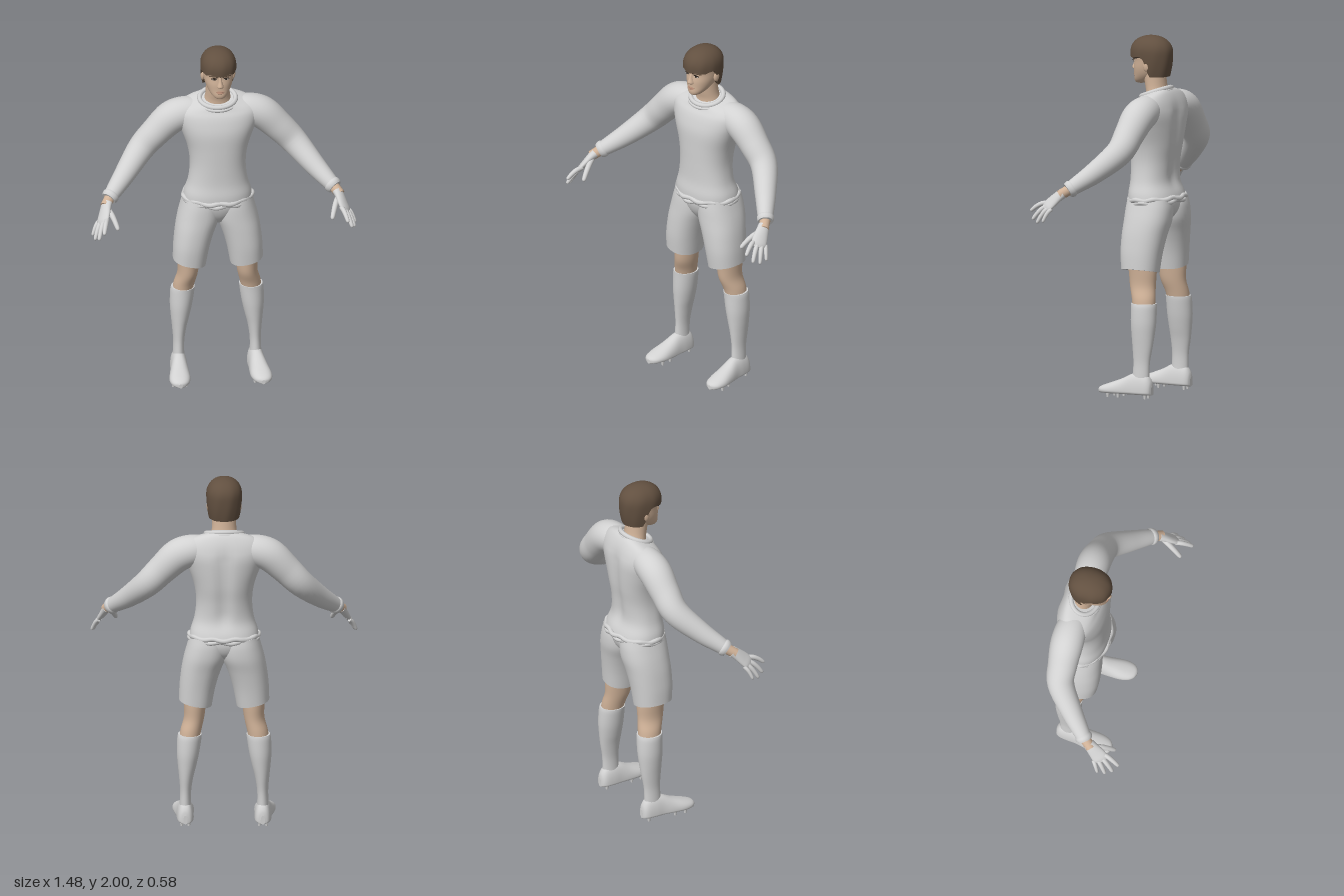
import * as THREE from 'three';

const mat = (name, color, side = THREE.FrontSide) => {
  const m = new THREE.MeshStandardMaterial({ color, side });
  m.name = name;
  return m;
};
const { smoothstep, lerp } = THREE.MathUtils;
const V = (x, y, z) => new THREE.Vector3(x, y, z);

// Skin a list of equal rings, capped at both ends; s = -1 mirrors in x
function loft(rings, s = 1) {
  const n = rings[0].length, pos = [], idx = [];
  const add = (p) => pos.push(p.x * s, p.y, p.z) / 3 - 1;
  rings.forEach((r) => r.forEach(add));
  for (let i = 0; i < rings.length - 1; i++) for (let j = 0; j < n; j++) {
    const a = i * n + j, b = i * n + (j + 1) % n;
    idx.push(a, a + n, b, b, a + n, b + n);
  }
  [rings[0], rings[rings.length - 1]].forEach((ring, end) => {
    const mid = ring.reduce((m, p) => m.add(p), V(0, 0, 0)).divideScalar(n);
    const c = add(mid), rim = ring.map(add);
    for (let j = 0; j < n; j++) {
      const a = rim[j], b = rim[(j + 1) % n];
      idx.push(c, end ? b : a, end ? a : b);
    }
  });
  // Turn the faces outward if the enclosed volume is negative
  const at = (i) => V(pos[3 * i], pos[3 * i + 1], pos[3 * i + 2]);
  let vol = 0;
  const o = at(0);
  for (let i = 0; i < idx.length; i += 3) {
    const [a, b, c] = [0, 1, 2].map((k) => at(idx[i + k]).sub(o));
    vol += a.dot(b.cross(c));
  }
  if (vol < 0) idx.reverse();
  const g = new THREE.BufferGeometry();
  g.setAttribute('position', new THREE.Float32BufferAttribute(pos, 3));
  g.setIndex(idx);
  g.computeVertexNormals();
  return g;
}

// Catmull-Rom resampling of rows of numbers
function dense(rows, k = 5) {
  const out = [], row = (i) => rows[Math.max(0, Math.min(rows.length - 1, i))];
  for (let i = 0; i < rows.length - 1; i++) for (let j = 0; j < k; j++) {
    const t = j / k;
    out.push(rows[i].map((_, c) => {
      const [a, b, d, e] = [row(i - 1)[c], row(i)[c], row(i + 1)[c], row(i + 2)[c]];
      return 0.5 * (2 * b + (d - a) * t + (2 * a - 5 * b + 4 * d - e) * t * t + (3 * b - a - 3 * d + e) * t ** 3);
    }));
  }
  out.push(rows[rows.length - 1]);
  return out;
}
const circle = (n, f) => Array.from({ length: n }, (_, j) => f((j / n) * Math.PI * 2));
const pw = (v, p) => Math.sign(v) * Math.abs(v) ** (2 / p);

// Upright form from rows of [y, xMin, xMax, zFront, zBack]
function stack(rows, { s = 1, n = 36, p = 2, warp = null } = {}) {
  return loft(dense(rows).map(([y, x0, x1, zf, zb]) => circle(n, (a) => {
    const v = V((x0 + x1) / 2 + (x1 - x0) / 2 * pw(Math.cos(a), p), y, (zf + zb) / 2 + (zf - zb) / 2 * pw(Math.sin(a), p));
    if (warp) warp(v);
    return v;
  })), s);
}

// Limb along rows of [x, y, z, radius across, radius through]
function limb(rows, s = 1, across = V(0, 0, 1), n = 20) {
  const d = dense(rows), c = d.map((r) => V(r[0], r[1], r[2]));
  return loft(d.map((r, i) => {
    const t = c[Math.min(i + 1, c.length - 1)].clone().sub(c[Math.max(i - 1, 0)]).normalize();
    const u = across.clone().addScaledVector(t, -across.dot(t)).normalize();
    const w = t.clone().cross(u);
    return circle(n, (a) => c[i].clone().addScaledVector(u, r[3] * Math.cos(a)).addScaledVector(w, (r[4] ?? r[3]) * Math.sin(a)));
  }), s);
}
const band = (f, r) => new THREE.TubeGeometry(new THREE.CatmullRomCurve3(circle(48, f), true), 120, r, 8, true);

export function createModel() {
  const cloth = mat('light grey cloth', 0xd2d2d2), skin = mat('skin', 0xd0b298), hair = mat('brown hair', 0x625040);
  const white = mat('eye white', 0xcfc8c0), dark = mat('dark eye', 0x2e241d), lip = mat('lip', 0xb08772);
  const model = new THREE.Group();
  const add = (name, geo, m) => {
    const mesh = new THREE.Mesh(geo, m);
    mesh.name = name;
    model.add(mesh);
    return mesh;
  };
  const blob = (name, m, x, y, z, rx, ry, rz) => add(name, new THREE.SphereGeometry(1, 20, 14).scale(rx, ry, rz).translate(x, y, z), m);

  // Shirt body, with a spine groove and a neckline sloping down to the front
  const sym = (rows) => rows.map(([y, r, zf, zb]) => [y, -r, r, zf, zb]);
  add('shirtBody', stack(sym([
    [1.085, 0.193, 0.008, -0.275], [1.13, 0.186, 0.008, -0.262], [1.2, 0.165, 0, -0.24], [1.3, 0.155, 0, -0.245],
    [1.4, 0.168, 0.002, -0.26], [1.5, 0.202, 0.002, -0.268], [1.57, 0.228, -0.012, -0.268], [1.62, 0.232, -0.03, -0.256],
    [1.66, 0.19, -0.042, -0.23], [1.688, 0.1, -0.05, -0.205],
  ]), { n: 56, p: 2.25, warp: (v) => {
    if (v.z < -0.15) v.z += 0.016 * Math.exp(-((v.x / 0.04) ** 2)) * smoothstep(v.y, 1.12, 1.25) * (1 - smoothstep(v.y, 1.55, 1.66));
    v.y -= 0.35 * smoothstep(v.y, 1.6, 1.685) * (v.z + 0.13);
  } }), cloth);
  add('collar', band((a) => V(0.1 * Math.cos(a), 1.685 - 0.028 * Math.sin(a), -0.127 + 0.077 * Math.sin(a)), 0.014), cloth);
  add('collarSeam', band((a) => V(0.112 * Math.cos(a), 1.671 - 0.03 * Math.sin(a), -0.127 + 0.085 * Math.sin(a)), 0.009), cloth);
  // Rumpled rolled hem
  [[1.098, 0.014, 0], [1.082, 0.012, 2]].forEach(([y, r, ph]) => add('shirtHem', band((a) => V(
    (0.19 + 0.004 * Math.sin(7 * a + ph)) * Math.cos(a), y - 0.008 * Math.sin(a) + 0.004 * Math.sin(9 * a + ph),
    -0.133 + (0.141 + 0.004 * Math.sin(11 * a + ph)) * Math.sin(a)), r), cloth));

  // Shorts seat
  add('shortsSeat', stack(sym([[0.955, 0.04, -0.05, -0.18], [1, 0.13, -0.02, -0.235], [1.05, 0.18, -0.003, -0.258], [1.1, 0.185, 0, -0.26]])), cloth);

  for (const s of [1, -1]) {
    // Sleeve and cuff
    add('sleeve', limb([
      [0.1, 1.6, -0.15, 0.075], [0.175, 1.595, -0.155, 0.088], [0.255, 1.565, -0.155, 0.092], [0.34, 1.485, -0.15, 0.083],
      [0.425, 1.395, -0.135, 0.075], [0.525, 1.29, -0.04, 0.06], [0.595, 1.225, 0.035, 0.047], [0.628, 1.196, 0.07, 0.04],
    ], s, V(0, 0, 1), 32), cloth);
    add('cuff', limb([[0.609, 1.213, 0.05, 0.043], [0.616, 1.207, 0.057, 0.048], [0.624, 1.2, 0.065, 0.047], [0.631, 1.194, 0.072, 0.042]], s), cloth);
    add('wrist', limb([[0.615, 1.207, 0.056, 0.031], [0.655, 1.168, 0.112, 0.028]], s), skin);

    // Gloved hand
    const across = V(0.045, -0.03, -0.055).normalize();
    add('palm', limb([
      [0.642, 1.181, 0.095, 0.033, 0.027], [0.652, 1.163, 0.118, 0.036, 0.023], [0.666, 1.13, 0.153, 0.043, 0.019],
      [0.677, 1.107, 0.175, 0.043, 0.016], [0.685, 1.093, 0.188, 0.03, 0.009],
    ], s, across), cloth);
    const fingers = [
      ['indexFinger', [0.656, 1.122, 0.196], [0.68, 1.072, 0.282], 0.013], ['middleFinger', [0.673, 1.106, 0.184], [0.706, 1.028, 0.255], 0.013],
      ['ringFinger', [0.688, 1.096, 0.165], [0.724, 1.013, 0.217], 0.0125], ['littleFinger', [0.698, 1.09, 0.143], [0.733, 1.022, 0.175], 0.011],
      ['thumb', [0.635, 1.15, 0.135], [0.596, 1.075, 0.238], 0.015],
    ];
    for (const [name, a, b, r] of fingers) {
      const at = (t, k) => [0, 1, 2].map((i) => lerp(a[i], b[i], t) + (i === 1 ? 0.04 * t * (1 - t) : 0)).concat(r * k);
      add(name, limb([at(-0.1, 1), at(0.3, 1.05), at(0.65, 0.95), at(0.9, 0.8), at(0.98, 0.5), at(1, 0.05)], s, across, 12), cloth);
    }

    // Leg of the shorts, hem rising to the outside
    add('shortsLeg', stack([
      [0.703, 0.068, 0.25, -0.01, -0.225], [0.8, 0.048, 0.247, 0, -0.236], [0.9, 0.016, 0.237, 0.002, -0.252],
      [0.98, -0.015, 0.222, 0, -0.268], [1.05, -0.02, 0.203, -0.003, -0.27], [1.1, -0.01, 0.188, -0.01, -0.262],
    ], { s, p: 2.25, warp: (v) => { v.y += 0.2 * Math.max(0, (0.85 - v.y) / 0.15) * (v.x - 0.16); } }), cloth);
    add('knee', stack([
      [0.78, 0.09, 0.23, -0.04, -0.215], [0.7, 0.1, 0.224, -0.052, -0.217], [0.62, 0.11, 0.223, -0.062, -0.214],
      [0.55, 0.126, 0.242, -0.085, -0.222], [0.48, 0.14, 0.25, -0.098, -0.225],
    ], { s }), skin);
    add('sock', stack([
      [0.528, 0.124, 0.255, -0.085, -0.23], [0.5, 0.126, 0.26, -0.086, -0.234], [0.42, 0.138, 0.262, -0.088, -0.235], [0.35, 0.153, 0.257, -0.094, -0.229],
      [0.28, 0.17, 0.25, -0.101, -0.22], [0.2, 0.182, 0.244, -0.107, -0.207], [0.13, 0.183, 0.246, -0.104, -0.204], [0.09, 0.18, 0.248, -0.1, -0.205],
    ], { s }), cloth);

    // Boot: rows of z, centre x, half width, top height
    add('boot', loft(dense([
      [-0.224, 0.214, 0.012, 0.07], [-0.217, 0.214, 0.03, 0.1], [-0.195, 0.214, 0.042, 0.13], [-0.15, 0.215, 0.047, 0.142], [-0.1, 0.217, 0.048, 0.134],
      [-0.04, 0.222, 0.055, 0.105], [0.02, 0.227, 0.059, 0.082], [0.065, 0.23, 0.05, 0.066], [0.09, 0.231, 0.032, 0.055], [0.1, 0.231, 0.01, 0.044],
    ]).map(([z, x, w, top]) => circle(28, (a) => V(x + w * pw(Math.cos(a), 2.3),
      0.038 + (Math.sin(a) > 0 ? Math.sin(a) * (top - 0.038) : 0.019 * pw(Math.sin(a), 3)), z))), s), cloth);
    for (const [x, z] of [[0.195, -0.19], [0.235, -0.19], [0.19, -0.03], [0.255, -0.03], [0.19, 0.03], [0.265, 0.03]])
      add('stud', new THREE.CylinderGeometry(0.01, 0.007, 0.026, 10).translate(x * s, 0.013, z), cloth);

    // Eye, brow and ear
    blob('eye', white, s * 0.033, 1.855, -0.005, 0.014, 0.006, 0.006);
    blob('iris', dark, s * 0.033, 1.855, -0.001, 0.006, 0.0055, 0.004);
    add('eyelid', limb([[0.018, 1.858, 0, 0.002], [0.033, 1.863, 0.001, 0.0035], [0.05, 1.857, -0.008, 0.002]], s, V(0, 0, 1), 8), dark);
    add('eyebrow', limb([[0.013, 1.868, 0.004, 0.003], [0.033, 1.876, 0.002, 0.005], [0.06, 1.87, -0.016, 0.003]], s, V(0, 0, 1), 8), hair);
    blob('ear', skin, s * 0.085, 1.838, -0.112, 0.012, 0.032, 0.02);
  }

  // Neck and head
  add('neck', stack(sym([[1.62, 0.085, -0.07, -0.2], [1.68, 0.074, -0.075, -0.195], [1.73, 0.067, -0.066, -0.185], [1.82, 0.066, -0.05, -0.175]])), skin);
  add('head', stack(sym([
    [1.73, 0.014, -0.01, -0.045], [1.737, 0.031, 0.001, -0.07], [1.755, 0.049, 0.006, -0.11], [1.785, 0.067, 0.004, -0.155], [1.82, 0.079, 0.004, -0.185],
    [1.86, 0.085, 0, -0.2], [1.9, 0.087, 0.005, -0.203], [1.95, 0.075, -0.01, -0.19], [1.98, 0.04, -0.05, -0.15],
  ]), { p: 2.2, n: 44 }), skin);
  add('nose', stack(sym([
    [1.802, 0.008, 0.008, -0.02], [1.807, 0.018, 0.018, -0.02], [1.816, 0.018, 0.025, -0.02], [1.84, 0.011, 0.016, -0.02], [1.868, 0.009, 0.006, -0.02], [1.885, 0.008, 0.003, -0.02],
  ]), { n: 20 }), skin);
  blob('upperLip', lip, 0, 1.779, 0.003, 0.024, 0.0045, 0.008);
  blob('lowerLip', lip, 0, 1.771, 0.003, 0.019, 0.005, 0.008);

  // Hair cap: short fringe in front, longer behind the ears
  const hairRings = Array.from({ length: 20 }, (_, i) => circle(64, (a) => {
    const c = Math.sin(a);
    const rim = 1.775 + 0.108 * smoothstep(c, -0.32, 0.1) + 0.005 * Math.sin(7 * a) * smoothstep(c, 0, 0.4);
    const y = lerp(rim, 1.9999, Math.sin((i / 19) * Math.PI / 2));
    let k = y > 1.9 ? (1 - ((y - 1.9) / 0.1) ** 2.3) ** 0.48 : 1 - 0.13 * ((1.9 - y) / 0.125) ** 2;
    k *= 1 + 0.008 * Math.sin(9 * a + 20 * y) * (1 - i / 19);
    return V(0.099 * k * pw(Math.cos(a), 2.15), y, -0.097 + 0.122 * k * pw(c, 2.15));
  }));
  add('hair', loft(hairRings), hair);

  return model;
}
